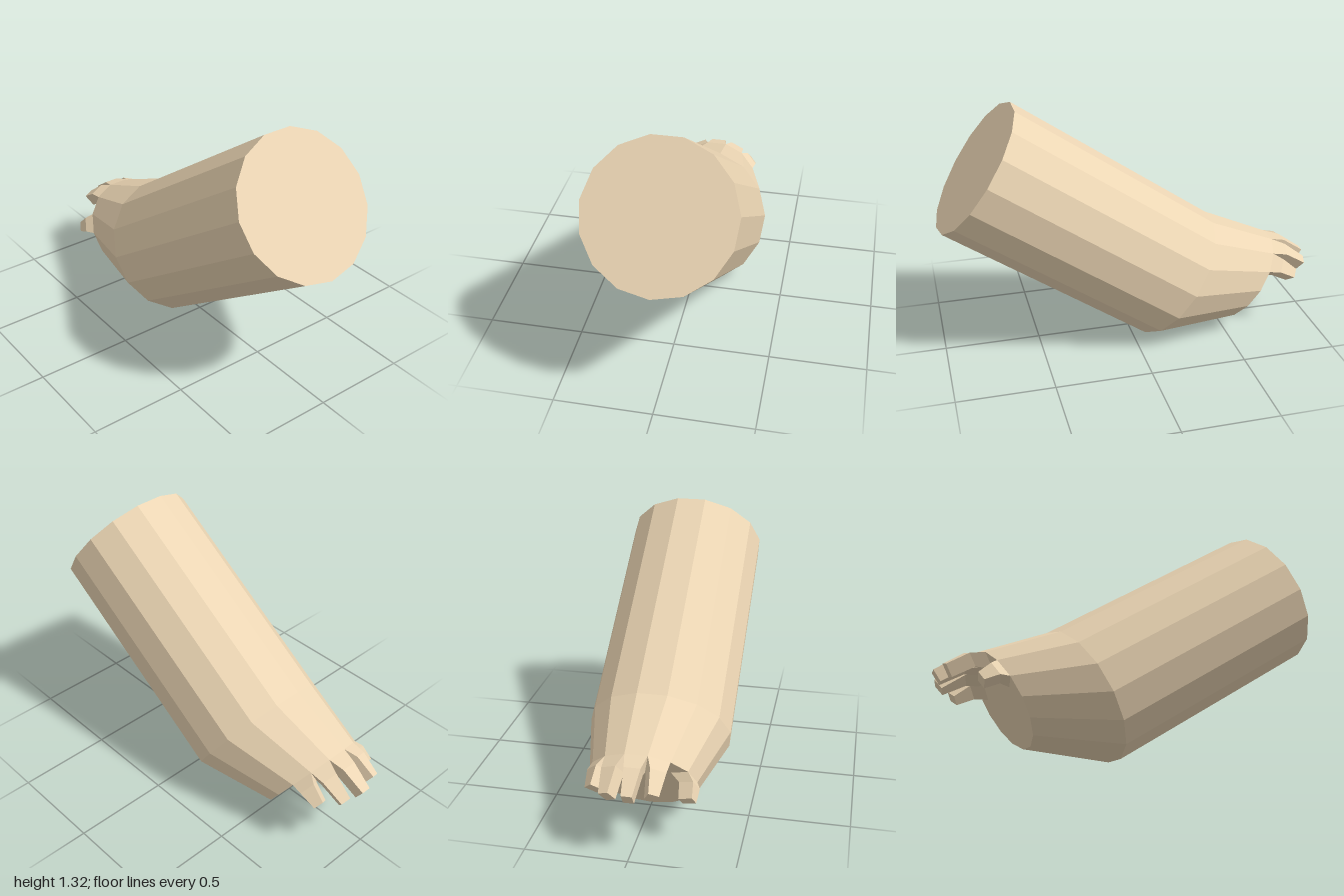
import * as THREE from 'three';

const SIDES = 15, STEP = (Math.PI * 2) / SIDES;
const WRIST = { x: -0.174, y: -0.368, r: 0.268 };

// Skin a stack of equal-sized point loops (bottom to top) and close both ends
function loft(sections) {
  const pos = [], n = sections[0].length;
  const tri = (...pts) => pts.forEach((p) => pos.push(...p));
  for (let s = 0; s < sections.length - 1; s++) {
    const a = sections[s], b = sections[s + 1];
    for (let i = 0; i < n; i++) {
      const j = (i + 1) % n;
      tri(a[i], a[j], b[j]);
      tri(a[i], b[j], b[i]);
    }
  }
  const first = sections[0], last = sections[sections.length - 1];
  for (let i = 1; i < n - 1; i++) {
    tri(first[0], first[i + 1], first[i]);
    tri(last[0], last[i], last[i + 1]);
  }
  const geo = new THREE.BufferGeometry();
  geo.setAttribute('position', new THREE.Float32BufferAttribute(pos, 3));
  geo.computeVertexNormals();
  return geo;
}

// Polygon ring with a flat side on top and a corner underneath
function ring(cx, y, r) {
  return Array.from({ length: SIDES }, (_, k) => {
    const a = (k + 0.5) * STEP;
    return [cx - r * Math.cos(a), y, r * Math.sin(a)];
  });
}

// Tapered, bent digit growing from one side of the wrist ring
function digit(angle, length) {
  const c = Math.cos(angle), s = Math.sin(angle);
  const edge = WRIST.r * Math.cos(STEP / 2);
  const at = (out, side, f) => [
    WRIST.x - (edge + out) * c + side * s,
    WRIST.y - f,
    (edge + out) * s + side * c,
  ];
  // forward distance, outer and inner offset, half width: tip to base
  const profile = [
    [0.224 * length, 0.027, -0.043, 0.026],
    [0.08 * length, 0.027, -0.046, 0.04],
    [0, 0, -0.09, WRIST.r * Math.sin(STEP / 2)],
  ];
  return loft(profile.map(([f, out, inn, w]) =>
    [at(out, -w, f), at(out, w, f), at(inn, w, f), at(inn, -w, f)]));
}

export function createModel() {
  const model = new THREE.Group();
  model.name = 'arm';
  const skin = new THREE.MeshStandardMaterial({ color: 0xecd6b4, flatShading: true });
  const add = (name, geo) => {
    const mesh = new THREE.Mesh(geo, skin);
    mesh.name = name;
    limb.add(mesh);
  };

  // Tilted frame: local y runs up the forearm, local -x is its upper side
  const limb = new THREE.Group();
  limb.name = 'limb';
  limb.position.set(-0.25, 0.309, 0);
  limb.rotation.z = THREE.MathUtils.degToRad(-55.4);
  model.add(limb);

  // Forearm and tapering palm
  add('forearm', loft([
    ring(WRIST.x, WRIST.y, WRIST.r),
    ring(0, 0, 0.369),
    ring(0, 1.258, 0.369),
  ]));

  // Digits: side of the ring counted from the top, relative length
  const digits = [
    ['littleFinger', -2, 0.67],
    ['ringFinger', -1, 0.93],
    ['middleFinger', 0, 1],
    ['indexFinger', 1, 0.86],
    ['thumb', 3, 0.55],
  ];
  digits.forEach(([name, side, length]) => add(name, digit(side * STEP, length)));

  return model;
}
